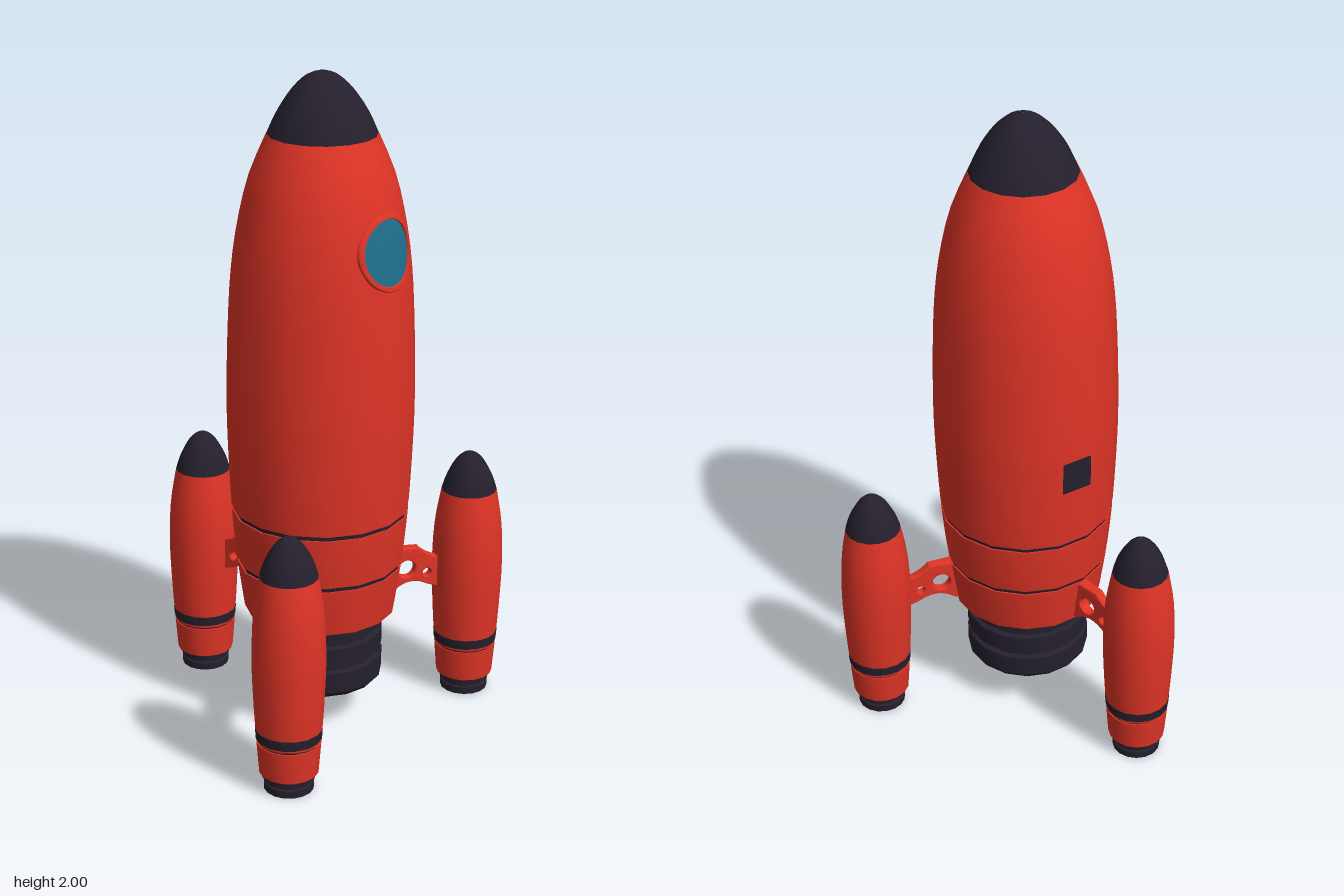
import * as THREE from 'three';
import { toCreasedNormals } from 'three/addons/utils/BufferGeometryUtils.js';

const SIDES = 16;
const red = new THREE.MeshStandardMaterial({ color: 0xe03426 });
const dark = new THREE.MeshStandardMaterial({ color: 0x25202d });
const glass = new THREE.MeshStandardMaterial({ color: 0x1f6f8b });

const vecs = (pts) => pts.map(([x, y]) => new THREE.Vector2(x, y));

function mesh(name, geometry, material) {
  const m = new THREE.Mesh(geometry, material);
  m.name = name;
  return m;
}

// Turned part from [radius, height] points, listed bottom to top
function turned(name, pts, material, sides = SIDES) {
  return mesh(name, toCreasedNormals(new THREE.LatheGeometry(vecs(pts), sides), 0.6), material);
}

// Smooth radius as a function of height
function radiusAt(keys) {
  const pts = new THREE.SplineCurve(vecs(keys)).getPoints(100);
  return (y) => {
    let i = 1;
    while (i < pts.length - 1 && pts[i].y < y) i++;
    const a = pts[i - 1], b = pts[i];
    return THREE.MathUtils.lerp(a.x, b.x, THREE.MathUtils.clamp((y - a.y) / (b.y - a.y), 0, 1));
  };
}

// Slice of a hull between two heights, with its ends turned inwards
function slice(name, radius, y0, y1, steps, material, offset = 0) {
  const pts = [[radius(y0) - 0.04, y0]];
  for (let i = 0; i <= steps; i++) {
    const y = y0 + (y1 - y0) * i / steps;
    pts.push([radius(y) + offset, y]);
  }
  pts.push([radius(y1) - 0.04, y1]);
  return turned(name, pts, material);
}

// Rounded cone tip
function nose(name, keys, material) {
  const pts = new THREE.SplineCurve(vecs(keys)).getPoints(12).map((p) => [p.x, p.y]);
  return turned(name, pts, material);
}

const hullRadius = radiusAt([
  [0.228, 0.36], [0.25, 0.52], [0.265, 0.69], [0.275, 0.9], [0.277, 1.05],
  [0.272, 1.25], [0.262, 1.42], [0.243, 1.56], [0.21, 1.7], [0.16, 1.82],
]);
const boosterRadius = radiusAt([
  [0.087, 0.055], [0.096, 0.17], [0.104, 0.3], [0.108, 0.43], [0.102, 0.56], [0.084, 0.67],
]);

function createBody() {
  const g = new THREE.Group();
  g.name = 'body';
  g.add(
    slice('lowerHull', hullRadius, 0.36, 0.508, 4, red),
    slice('lowerSeam', hullRadius, 0.508, 0.522, 1, dark, -0.005),
    slice('middleHull', hullRadius, 0.522, 0.678, 4, red),
    slice('upperSeam', hullRadius, 0.678, 0.692, 1, dark, -0.005),
    slice('upperHull', hullRadius, 0.692, 1.82, 20, red),
    nose('noseCone', [[0.159, 1.82], [0.13, 1.883], [0.088, 1.945], [0.045, 1.985], [0.0005, 2]], dark),
  );

  // Engine with two grooves and a shallow recess below
  const engine = [[0.0005, 0.155], [0.155, 0.155], [0.165, 0.13], [0.178, 0.13], [0.19, 0.145]];
  for (const y of [0.22, 0.3]) {
    engine.push([0.19, y - 0.011], [0.174, y - 0.006], [0.174, y + 0.006], [0.19, y + 0.011]);
  }
  engine.push([0.19, 0.37]);
  g.add(turned('engine', engine, dark));

  // Small hatch on one facet of the back
  const hatch = new THREE.CylinderGeometry(0.28, 0.279, 0.105, 1, 1, true, Math.PI * 7 / 8 + 0.02, Math.PI / 8 - 0.04);
  hatch.translate(0, 0.94, 0);
  const hatchMesh = mesh('hatch', hatch, dark.clone());
  hatchMesh.material.side = THREE.DoubleSide;
  g.add(hatchMesh);
  return g;
}

// Round window bent to follow the hull
function createWindow() {
  const g = new THREE.Group();
  g.name = 'window';
  const bent = (name, pts, material) => {
    const geo = new THREE.LatheGeometry(vecs(pts), 32);
    geo.rotateX(Math.PI / 2).translate(0, 1.518, 0);
    const p = geo.attributes.position;
    for (let i = 0; i < p.count; i++) {
      const x = p.getX(i), r = hullRadius(p.getY(i));
      p.setZ(i, p.getZ(i) + Math.sqrt(r * r - x * x));
    }
    g.add(mesh(name, toCreasedNormals(geo, 0.6), material));
  };
  bent('windowFrame', [[0.11, -0.015], [0.11, 0.005], [0.107, 0.008], [0.096, 0.008], [0.093, 0]], red);
  bent('windowGlass', [[0.095, 0.003], [0.075, 0.003], [0.05, 0.003], [0.025, 0.003], [0.0005, 0.003]], glass);
  return g;
}

function createBooster() {
  const g = new THREE.Group();
  g.name = 'booster';
  g.add(
    turned('boosterNozzle', [
      [0.0005, 0.02], [0.058, 0.02], [0.064, 0], [0.073, 0], [0.074, 0.022], [0.069, 0.026],
      [0.069, 0.032], [0.077, 0.036], [0.079, 0.06],
    ], dark),
    slice('boosterSkirt', boosterRadius, 0.055, 0.153, 3, red),
    slice('boosterSeam', boosterRadius, 0.153, 0.159, 1, dark, -0.004),
    slice('boosterCollar', boosterRadius, 0.159, 0.166, 1, red),
    slice('boosterBand', boosterRadius, 0.166, 0.196, 1, dark, 0.001),
    slice('boosterHull', boosterRadius, 0.196, 0.67, 12, red),
    nose('boosterNose', [[0.084, 0.67], [0.069, 0.716], [0.045, 0.76], [0.022, 0.784], [0.0005, 0.793]], dark),
  );
  return g;
}

// Flat bracket with two round holes, reaching out along +x
function createStrut() {
  const s = new THREE.Shape();
  s.moveTo(0.2, 0.365);
  s.lineTo(0.235, 0.37);
  s.quadraticCurveTo(0.29, 0.41, 0.345, 0.377);
  s.lineTo(0.4, 0.355);
  s.lineTo(0.4, 0.455);
  s.lineTo(0.365, 0.463);
  s.quadraticCurveTo(0.335, 0.475, 0.315, 0.498);
  s.lineTo(0.2, 0.505);
  for (const [x, y, r] of [[0.278, 0.433, 0.031], [0.344, 0.413, 0.016]]) {
    s.holes.push(new THREE.Path().absarc(x, y, r, 0, Math.PI * 2, true));
  }
  const geo = new THREE.ExtrudeGeometry(s, {
    depth: 0.022, bevelThickness: 0.004, bevelSize: 0.003, bevelSegments: 1, curveSegments: 10,
  });
  geo.translate(0, 0, -0.011);
  // Thicken the bracket towards the hull
  const p = geo.attributes.position;
  for (let i = 0; i < p.count; i++) {
    p.setZ(i, p.getZ(i) * (1 + Math.max(0, 0.29 - p.getX(i)) * 4));
  }
  return mesh('strut', toCreasedNormals(geo, 0.5), red);
}

export function createModel() {
  const model = new THREE.Group();
  model.name = 'rocket';
  model.add(createBody(), createWindow());

  // Three boosters around the body, one straight behind
  for (let i = 0; i < 3; i++) {
    const arm = new THREE.Group();
    arm.name = 'boosterArm';
    const booster = createBooster();
    booster.position.x = 0.482;
    arm.add(booster, createStrut());
    arm.rotation.y = Math.PI / 2 + i * Math.PI * 2 / 3;
    model.add(arm);
  }
  model.position.set(-0.003, 0, 0.117);

  const root = new THREE.Group();
  root.name = 'rocketModel';
  root.add(model);
  return root;
}
